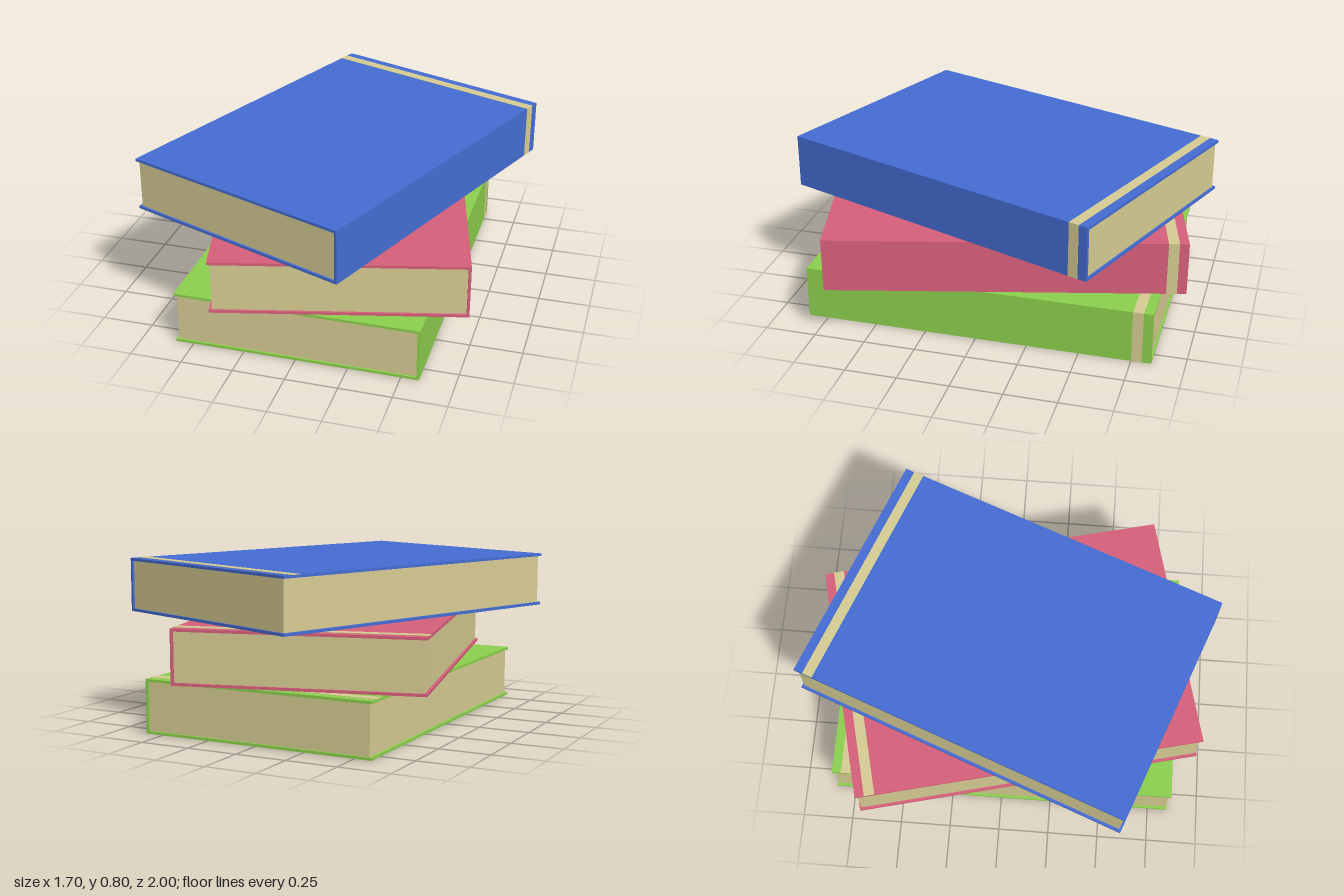
import * as THREE from 'three';

const W = 1.17, H = 0.26, D = 1.69; // size of one book
const T = 0.013;                    // cover thickness
const PAPER = 0xd6cb92;

const paint = (color) => new THREE.MeshStandardMaterial({ color, roughness: 0.8 });

function addMesh(group, name, geometry, material, x = 0, y = 0, z = 0) {
  const mesh = new THREE.Mesh(geometry, material);
  mesh.name = name;
  mesh.position.set(x, y, z);
  group.add(mesh);
}

// Extrudes an x-y outline along z, centred on z = 0
function extrudeOutline(points, depth) {
  const shape = new THREE.Shape(points.map(([x, y]) => new THREE.Vector2(x, y)));
  return new THREE.ExtrudeGeometry(shape, { depth, bevelEnabled: false }).translate(0, 0, -depth / 2);
}

function createBook({ name, color, y, turn, paperBase }) {
  const book = new THREE.Group();
  book.name = name;
  const h = W / 2, e = 0.0015;
  const paper = paint(PAPER);

  // C-shaped cover: two boards joined by the spine on +x
  const cover = [[-h, 0], [h, 0], [h, H], [-h, H], [-h, H - T], [h - T, H - T], [h - T, T], [-h, T]];
  addMesh(book, 'cover', extrudeOutline(cover, D), paint(color));

  // Page block, set back from the open edges
  const pages = new THREE.BoxGeometry(W - 2 * T, H - 2 * T, D - 0.02);
  addMesh(book, 'pages', pages, paper, 0, H / 2, 0);

  // Band running across the top board and down the spine
  const band = [[h, 0], [h + e, 0], [h + e, H + e], [-h, H + e], [-h, H], [h, H]];
  addMesh(book, 'band', extrudeOutline(band, 0.05), paper, 0, 0, -D / 2 + 0.07);

  // Paper-coloured lining under the lower board
  if (paperBase) {
    const lining = new THREE.PlaneGeometry(W, D).rotateX(Math.PI / 2);
    addMesh(book, 'underside', lining, paper, 0, -e, 0);
  }

  book.position.y = y;
  book.rotation.y = THREE.MathUtils.degToRad(turn);
  return book;
}

export function createModel() {
  const stack = new THREE.Group();
  stack.name = 'bookStack';
  const books = [
    { name: 'bottomBook', color: 0x8ccf4d, y: 0.0015, turn: 0, paperBase: true },
    { name: 'middleBook', color: 0xd65f7a, y: 0.267, turn: 13.9, paperBase: true },
    { name: 'topBook', color: 0x446cd2, y: 0.536, turn: -20.9, paperBase: false },
  ];
  for (const spec of books) stack.add(createBook(spec));
  return stack;
}
